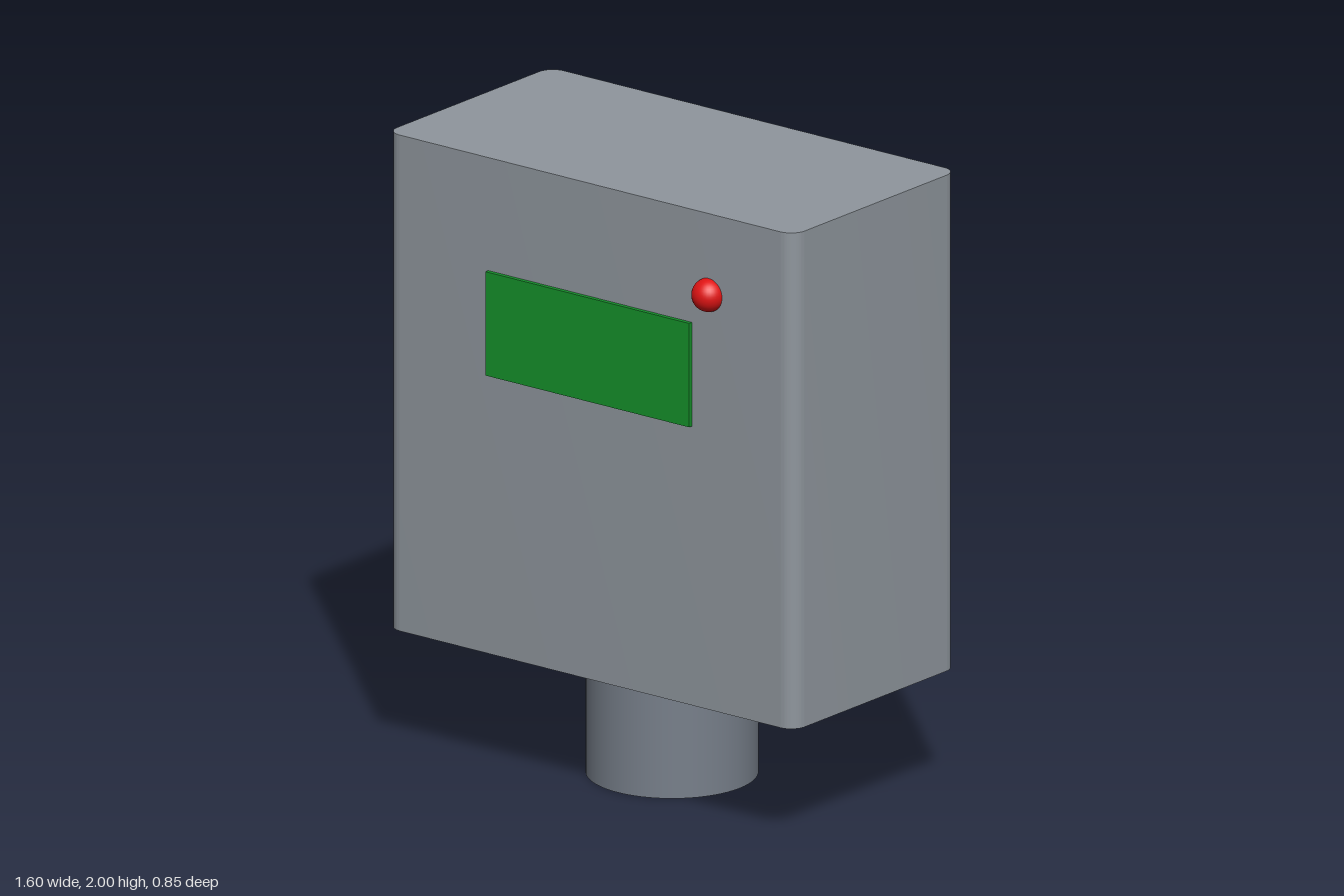
import * as THREE from 'three';
import { toCreasedNormals } from 'three/addons/utils/BufferGeometryUtils.js';

const CENTER_Z = -0.027;
const FRONT_Z = 0.373;

// Rectangle outline with rounded corners, centred on the origin
function roundedRect(w, d, r) {
  const x = w / 2, y = d / 2;
  const s = new THREE.Shape();
  s.moveTo(-x + r, -y);
  s.lineTo(x - r, -y);
  s.absarc(x - r, -y + r, r, -Math.PI / 2, 0);
  s.lineTo(x, y - r);
  s.absarc(x - r, y - r, r, 0, Math.PI / 2);
  s.lineTo(-x + r, y);
  s.absarc(-x + r, y - r, r, Math.PI / 2, Math.PI);
  s.lineTo(-x, -y + r);
  s.absarc(-x + r, -y + r, r, Math.PI, Math.PI * 1.5);
  return s;
}

export function createModel() {
  const group = new THREE.Group();
  const add = (name, geometry, color, x, y, z) => {
    const mesh = new THREE.Mesh(geometry, new THREE.MeshStandardMaterial({ color }));
    mesh.name = name;
    mesh.position.set(x, y, z);
    group.add(mesh);
  };

  // Housing: upright box with rounded vertical edges and sharp top and bottom
  const housing = new THREE.ExtrudeGeometry(roundedRect(1.6, 0.8, 0.053), {
    depth: 1.6, bevelEnabled: false, curveSegments: 10,
  });
  housing.rotateX(-Math.PI / 2);
  add('housing', toCreasedNormals(housing, 0.6), 0x8f969d, 0, 0.4, CENTER_Z);

  // Round connector stub below the housing
  add('connectorStub', new THREE.CylinderGeometry(0.265, 0.265, 0.4, 64), 0x777f8a, 0, 0.2, CENTER_Z);

  // Thin display plate standing just proud of the front
  add('display', new THREE.BoxGeometry(0.8, 0.335, 0.028), 0x16912b, 0, 1.468, FRONT_Z);

  // Indicator lamp, half sunk into the front
  add('indicatorLamp', new THREE.SphereGeometry(0.053, 32, 20), 0xe01414, 0.465, 1.738, FRONT_Z);

  return group;
}
